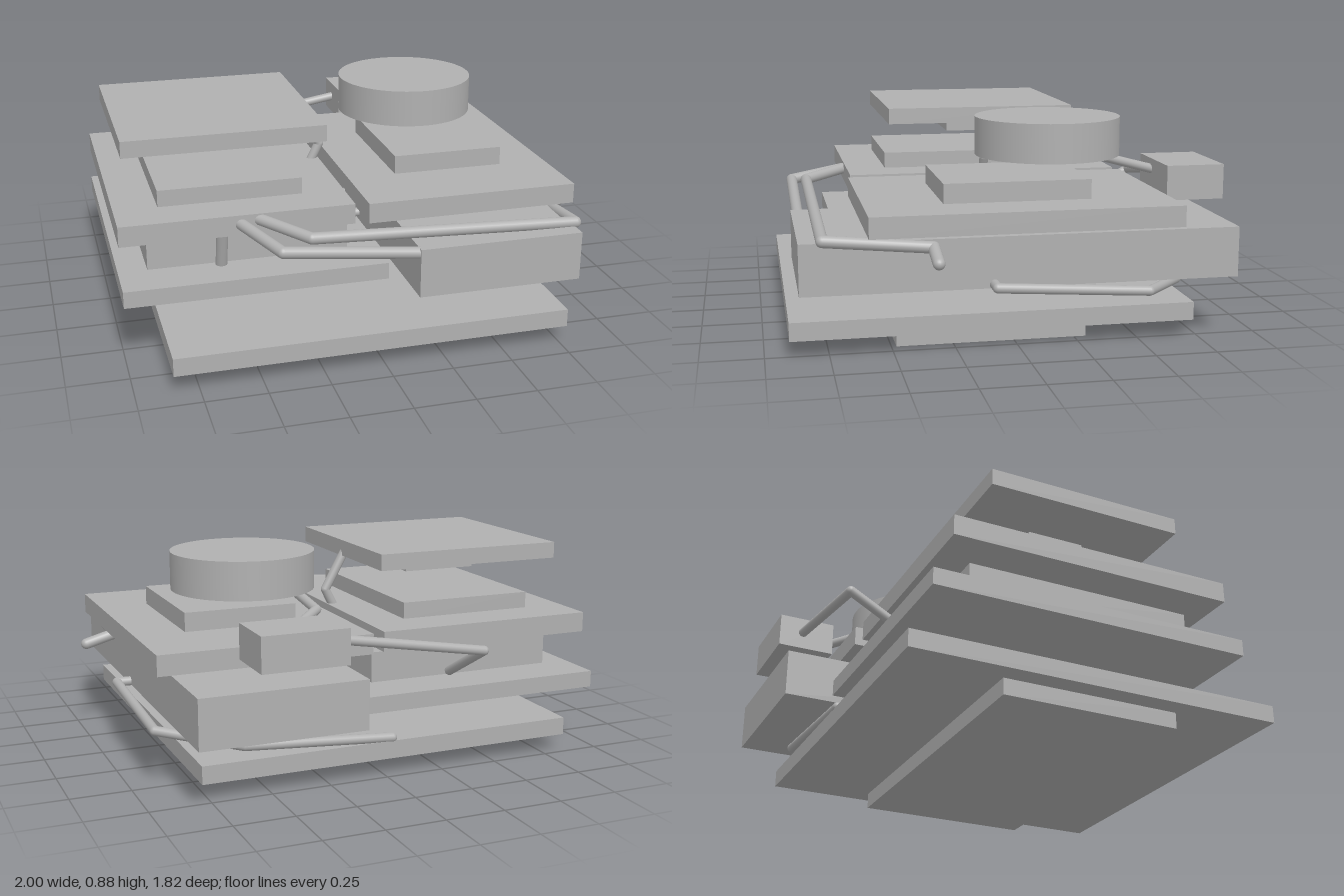
import * as THREE from 'three';

const grey = new THREE.MeshStandardMaterial({ color: 0xb0b0b0 });
grey.name = 'plain grey';

// Box given by its limits on each axis
function slab(name, [x0, x1], [y0, y1], [z0, z1]) {
  const mesh = new THREE.Mesh(new THREE.BoxGeometry(x1 - x0, y1 - y0, z1 - z0), grey);
  mesh.position.set((x0 + x1) / 2, (y0 + y1) / 2, (z0 + z1) / 2);
  mesh.name = name;
  return mesh;
}

// Round pipe through the given points, with ball joints at bends and ends
function pipe(name, points, radius = 0.024) {
  const group = new THREE.Group();
  group.name = name;
  const p = points.map((a) => new THREE.Vector3(...a));
  p.forEach((point, i) => {
    const joint = new THREE.Mesh(new THREE.SphereGeometry(radius, 20, 12), grey);
    joint.position.copy(point);
    joint.name = 'pipeJoint';
    group.add(joint);
    if (i === 0) return;
    const dir = point.clone().sub(p[i - 1]);
    const run = new THREE.Mesh(new THREE.CylinderGeometry(radius, radius, dir.length(), 20, 1, true), grey);
    run.position.copy(point).add(p[i - 1]).multiplyScalar(0.5);
    run.quaternion.setFromUnitVectors(new THREE.Vector3(0, 1, 0), dir.normalize());
    run.name = 'pipeRun';
    group.add(run);
  });
  return group;
}

export function createModel() {
  const model = new THREE.Group();
  model.name = 'stackedPlatforms';

  // Base
  model.add(
    slab('foot', [-0.76, 0.69], [0, 0.07], [-0.3, 0.48]),
    slab('basePlate', [-0.85, 0.78], [0.07, 0.145], [-0.73, 0.905]),
  );

  // Stack on the right side
  model.add(
    slab('lowerPlate', [-1, 0.085], [0.26, 0.33], [-0.7, 0.66]),
    slab('middleBlock', [-0.88, -0.04], [0.33, 0.46], [-0.5, 0.47]),
    slab('upperPlate', [-1, -0.04], [0.49, 0.575], [-0.62, 0.59]),
    slab('upperStep', [-0.82, -0.22], [0.575, 0.645], [-0.435, 0.415]),
    slab('roofUnderside', [-0.705, -0.37], [0.72, 0.79], [-0.15, 0.1]),
    slab('roofPlate', [-0.955, -0.11], [0.79, 0.86], [-0.44, 0.405]),
  );

  // Stack on the left side
  model.add(
    slab('longBlock', [0.15, 0.84], [0.26, 0.465], [-0.89, 0.865]),
    slab('deckPlate', [0.015, 0.92], [0.49, 0.575], [-0.635, 0.605]),
    slab('deckStep', [0.225, 0.71], [0.575, 0.655], [-0.31, 0.29]),
    slab('rearBox', [0.24, 0.6], [0.535, 0.68], [-0.91, -0.665]),
  );
  const drum = new THREE.Mesh(new THREE.CylinderGeometry(0.302, 0.302, 0.16, 64), grey);
  drum.position.set(0.42, 0.8, -0.195);
  drum.name = 'drum';
  model.add(drum);

  // Connecting pipes
  model.add(
    pipe('frontOuterPipe', [[-0.53, 0.54, 0.54], [-0.4, 0.505, 0.835], [0.17, 0.44, 0.835]]),
    pipe('frontInnerPipe', [[-0.46, 0.55, 0.55], [-0.27, 0.525, 0.775], [0.85, 0.475, 0.775],
      [0.85, 0.435, 0.35], [0.976, 0.4, 0.35]]),
    pipe('lowerPipe', [[-0.035, 0.155, -0.715], [0.6, 0.2, -0.715], [0.9, 0.235, -0.5],
      [0.9, 0.275, 0.11], [0.82, 0.275, 0.11]], 0.02),
    pipe('rearPipe', [[0.26, 0.615, -0.805], [-0.4, 0.505, -0.805], [-0.4, 0.35, -0.52]], 0.02),
    pipe('drumPipe', [[0.42, 0.712, -0.195], [0.21, 0.705, -0.195], [0.21, 0.665, -0.5], [0.4, 0.63, -0.69]], 0.02),
    pipe('roofPipe', [[-0.13, 0.81, -0.015], [-0.035, 0.64, -0.015], [-0.13, 0.45, -0.015]], 0.02),
    pipe('bridgePipe', [[-0.06, 0.43, 0.23], [0.05, 0.51, 0.23]], 0.02),
    pipe('plateLink', [[0.07, 0.295, 0], [0.17, 0.295, 0]], 0.02),
    pipe('frontPost', [[-0.58, 0.51, 0.54], [-0.58, 0.33, 0.49]]),
  );

  return model;
}
